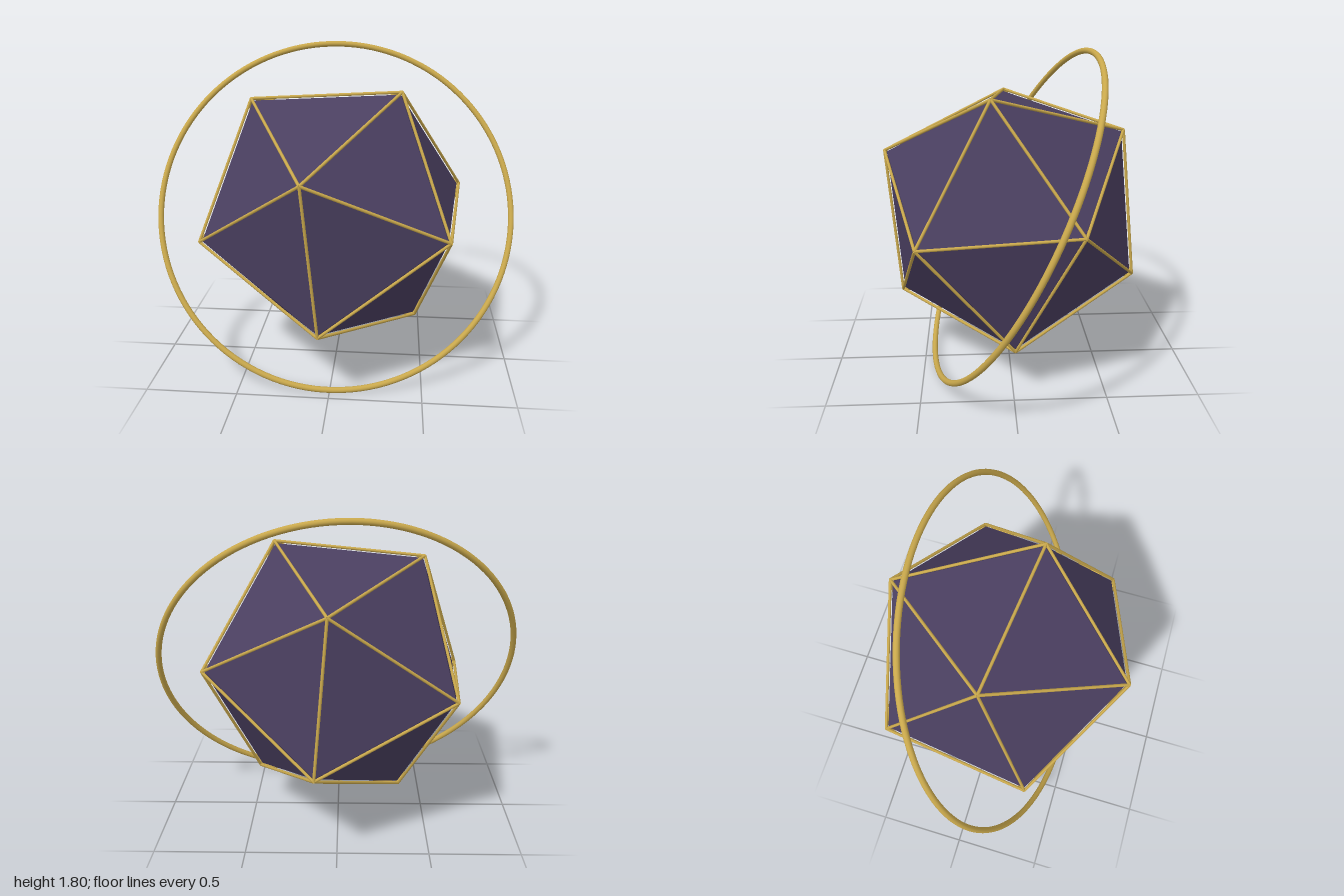
import * as THREE from 'three';

const CENTRE_Y = 0.9;
const UP = new THREE.Vector3(0, 1, 0);

// Straight round rod between two points
function rod(a, b, radius, material) {
  const dir = b.clone().sub(a);
  const mesh = new THREE.Mesh(new THREE.CylinderGeometry(radius, radius, dir.length(), 8), material);
  mesh.position.copy(a).add(b).multiplyScalar(0.5);
  mesh.quaternion.setFromUnitVectors(UP, dir.normalize());
  return mesh;
}

export function createModel() {
  const purple = new THREE.MeshStandardMaterial({ color: 0x4a3f60, flatShading: true });
  purple.name = 'dark purple';
  const gold = new THREE.MeshStandardMaterial({ color: 0xc9a84c });
  gold.name = 'gold';

  const model = new THREE.Group();
  model.name = 'ringedIcosahedron';

  // Tilted twenty-sided gem with its wire cage
  const gem = new THREE.Group();
  gem.name = 'gem';
  gem.position.y = CENTRE_Y;
  gem.rotation.set(0.1, -0.115, 0.084);
  model.add(gem);

  const core = new THREE.Mesh(new THREE.IcosahedronGeometry(0.765, 0), purple);
  core.name = 'core';
  gem.add(core);

  // Cage: one rod along each of the thirty edges, just outside the core
  const cage = new THREE.Group();
  cage.name = 'edgeCage';
  const edges = new THREE.EdgesGeometry(new THREE.IcosahedronGeometry(0.78, 0)).attributes.position;
  for (let i = 0; i < edges.count; i += 2) {
    const a = new THREE.Vector3().fromBufferAttribute(edges, i);
    const b = new THREE.Vector3().fromBufferAttribute(edges, i + 1);
    const edge = rod(a, b, 0.008, gold);
    edge.name = 'edgeRod';
    cage.add(edge);
  }
  gem.add(cage);

  // Large tilted ring around the gem
  const ring = new THREE.Mesh(new THREE.TorusGeometry(0.987, 0.016, 12, 128), gold);
  ring.name = 'orbitRing';
  ring.position.y = CENTRE_Y;
  ring.quaternion.setFromUnitVectors(
    new THREE.Vector3(0, 0, 1),
    new THREE.Vector3(0.086, 0.448, 0.89).normalize()
  );
  model.add(ring);

  return model;
}
